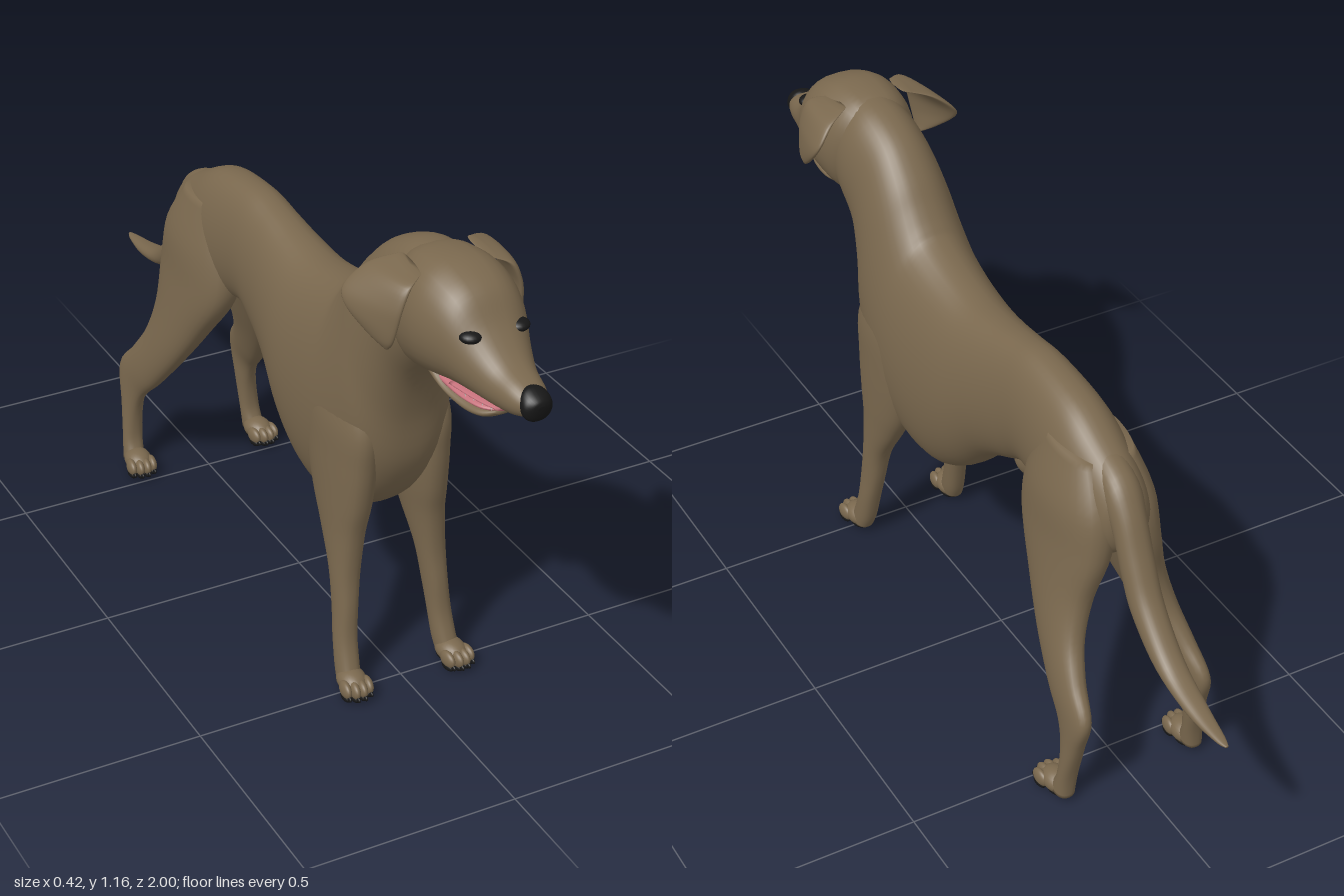
import * as THREE from 'three';

const mat = (name, color, side = THREE.FrontSide) => {
  const m = new THREE.MeshStandardMaterial({ color, side });
  m.name = name;
  return m;
};

// Catmull-Rom interpolation of a table of section rows
function sample(rows, t) {
  const i = Math.min(Math.floor(t), rows.length - 2), u = t - i;
  const at = k => rows[Math.max(0, Math.min(rows.length - 1, k))];
  const [a, b, c, d] = [at(i - 1), at(i), at(i + 1), at(i + 2)];
  return b.map((q, k) => q + 0.5 * u * (c[k] - a[k] + u * (2 * a[k] - 5 * q + 4 * c[k] - d[k]
    + u * (3 * (q - c[k]) + d[k] - a[k]))));
}

// Skin over sections [z1, y1, z2, y2, halfWidth, x1, x2]: two outline points and a width in x
function loft(sections, { side = 1, power = 0.85, egg = 0, around = 32, steps = 5 } = {}) {
  const rows = sections.map(([a, b, c, d, w, x1 = 0, x2 = x1]) => [a, b, c, d, w, x1, x2]);
  const n = (rows.length - 1) * steps, pos = [], idx = [];
  const centre = r => [side * (r[5] + r[6]) / 2, (r[1] + r[3]) / 2, (r[0] + r[2]) / 2];
  for (let i = 0; i <= n; i++) {
    const r = sample(rows, i / steps), m = centre(r);
    for (let j = 0; j < around; j++) {
      const a = j / around * Math.PI * 2, c = Math.cos(a), s = Math.sin(a);
      const w = Math.max(r[4], 0.001) * Math.sign(c) * Math.abs(c) ** power * (1 + egg * s);
      pos.push(m[0] + w + side * s * (r[5] - r[6]) / 2, m[1] + s * (r[1] - r[3]) / 2, m[2] + s * (r[0] - r[2]) / 2);
    }
  }
  const first = pos.length / 3;
  pos.push(...centre(rows[0]), ...centre(rows[rows.length - 1]));
  for (let j = 0; j < around; j++) {
    const k = (j + 1) % around;
    for (let i = 0; i < n; i++) {
      const a = i * around + j, b = i * around + k;
      idx.push(a, b, b + around, a, b + around, a + around);
    }
    idx.push(first, k, j, first + 1, n * around + j, n * around + k);
  }
  // turn faces outward, judged by signed volume
  let volume = 0;
  const v = i => new THREE.Vector3().fromArray(pos, i * 3);
  for (let i = 0; i < idx.length; i += 3) volume += v(idx[i]).dot(v(idx[i + 1]).cross(v(idx[i + 2])));
  if (volume < 0) idx.reverse();
  const g = new THREE.BufferGeometry();
  g.setAttribute('position', new THREE.Float32BufferAttribute(pos, 3));
  g.setIndex(idx);
  g.computeVertexNormals();
  return g;
}

export function createModel() {
  const dog = new THREE.Group();
  dog.name = 'dog';
  const coat = mat('brown coat', 0x7a684e), black = mat('black skin', 0x171717);
  const pink = mat('pink mouth', 0xc4707a), white = mat('white teeth', 0xe6e2d8);

  const add = (name, geometry, material, parent = dog) => {
    const m = new THREE.Mesh(geometry, material);
    m.name = name;
    parent.add(m);
    return m;
  };
  const blob = (name, material, p, r, parent = dog) => {
    const m = add(name, new THREE.SphereGeometry(1, 20, 14), material, parent);
    m.position.set(...p);
    m.scale.set(...r);
    return m;
  };

  // Torso and neck: back line and belly/throat line
  add('torsoAndNeck', loft([
    [-0.572, 0.73, -0.572, 0.68, 0.02],
    [-0.545, 0.795, -0.55, 0.62, 0.06],
    [-0.45, 0.855, -0.46, 0.57, 0.085],
    [-0.35, 0.9, -0.35, 0.575, 0.092],
    [-0.2, 0.917, -0.2, 0.612, 0.085],
    [-0.1, 0.905, -0.1, 0.57, 0.09],
    [0, 0.888, 0, 0.51, 0.105],
    [0.1, 0.88, 0.1, 0.415, 0.124],
    [0.2, 0.895, 0.2, 0.36, 0.134],
    [0.29, 0.922, 0.32, 0.365, 0.14],
    [0.32, 0.945, 0.44, 0.44, 0.138],
    [0.355, 0.985, 0.515, 0.56, 0.13],
    [0.4, 1.04, 0.537, 0.7, 0.118],
    [0.47, 1.102, 0.57, 0.8, 0.107],
    [0.555, 1.14, 0.62, 0.865, 0.103, 0.004],
    [0.64, 1.15, 0.68, 0.91, 0.09, 0.006],
  ], { egg: -0.06, around: 48 }), coat);

  // Skull and muzzle, turned slightly to the left
  const head = new THREE.Group();
  head.name = 'head';
  dog.add(head);
  add('skullAndMuzzle', loft([
    [0.54, 1.11, 0.58, 0.92, 0.07, 0],
    [0.6, 1.147, 0.63, 0.885, 0.108, 0.003],
    [0.68, 1.157, 0.69, 0.895, 0.12, 0.006],
    [0.74, 1.145, 0.74, 0.905, 0.115, 0.009],
    [0.79, 1.118, 0.785, 0.912, 0.1, 0.011],
    [0.835, 1.06, 0.84, 0.912, 0.078, 0.014],
    [0.89, 1.012, 0.895, 0.912, 0.058, 0.016],
    [0.945, 0.99, 0.945, 0.918, 0.045, 0.018],
    [0.978, 0.972, 0.975, 0.93, 0.03, 0.02],
    [0.986, 0.96, 0.984, 0.945, 0.01, 0.02],
  ], { power: 0.75, egg: -0.03 }), coat, head);
  add('lowerJaw', loft([
    [0.64, 0.95, 0.65, 0.885, 0.06, 0.006],
    [0.72, 0.9, 0.72, 0.872, 0.062, 0.01],
    [0.79, 0.888, 0.79, 0.857, 0.054, 0.012],
    [0.84, 0.888, 0.845, 0.864, 0.043, 0.014],
    [0.87, 0.893, 0.872, 0.882, 0.02, 0.015],
  ], { power: 0.75 }), coat, head);
  add('tongue', loft([
    [0.7, 0.912, 0.7, 0.88, 0.056, 0.01],
    [0.78, 0.902, 0.78, 0.88, 0.054, 0.012],
    [0.84, 0.9, 0.845, 0.882, 0.042, 0.014],
    [0.872, 0.898, 0.874, 0.89, 0.018, 0.015],
  ]), pink, head);
  add('gums', loft([
    [0.76, 0.918, 0.76, 0.902, 0.063, 0.011],
    [0.84, 0.918, 0.84, 0.903, 0.052, 0.014],
    [0.9, 0.92, 0.9, 0.906, 0.038, 0.016],
  ]), pink, head);
  add('nose', loft([
    [0.945, 0.985, 0.958, 0.94, 0.022, 0.019],
    [0.962, 0.989, 0.972, 0.922, 0.033, 0.02],
    [0.982, 0.982, 0.985, 0.922, 0.033, 0.02],
    [0.996, 0.972, 0.992, 0.93, 0.022, 0.02],
    [1, 0.962, 0.997, 0.945, 0.008, 0.02],
  ]), black, head);

  for (const s of [1, -1]) {
    const label = s > 0 ? 'left' : 'right';
    // Eyes and teeth
    const eye = blob(label + 'Eye', black, [0.014 + s * 0.056, 1.046, 0.822], [0.024, 0.013, 0.022], head);
    eye.rotation.y = s * 0.5;
    for (let i = 0; i < 4; i++) {
      const tooth = add(label + 'Tooth', new THREE.ConeGeometry(0.004, 0.016, 6), white, head);
      tooth.position.set(0.014 + s * (0.05 - i * 0.006), 0.903, 0.8 + i * 0.024);
      tooth.rotation.x = Math.PI;
    }

    // Hanging ears, the right one flared further out
    const f = s > 0 ? 0.012 : 0.04;
    add(label + 'Ear', loft([
      [0.69, 1.13, 0.6, 1.14, 0.01, 0.085, 0.08],
      [0.712, 1.118, 0.575, 1.122, 0.014, 0.118, 0.122 + f * 0.4],
      [0.716, 1.075, 0.565, 1.08, 0.012, 0.138, 0.148 + f],
      [0.71, 1.03, 0.585, 1.045, 0.011, 0.146, 0.156 + f],
      [0.7, 0.995, 0.635, 1, 0.009, 0.15, 0.156 + f * 0.4],
      [0.685, 0.976, 0.668, 0.976, 0.005, 0.151, 0.152],
    ], { side: s, power: 0.8 }), coat, head);

    // Forelegs: front edge and back edge
    add(label + 'Foreleg', loft([
      [0.45, 0.78, 0.27, 0.78, 0.03, 0.085],
      [0.505, 0.66, 0.24, 0.67, 0.052, 0.088],
      [0.503, 0.56, 0.25, 0.56, 0.054, 0.09],
      [0.49, 0.46, 0.29, 0.45, 0.049, 0.094],
      [0.474, 0.38, 0.338, 0.365, 0.041, 0.1],
      [0.47, 0.28, 0.388, 0.28, 0.033, 0.108],
      [0.478, 0.2, 0.41, 0.19, 0.028, 0.114],
      [0.486, 0.12, 0.427, 0.12, 0.027, 0.12],
      [0.505, 0.06, 0.445, 0.05, 0.027, 0.124],
      [0.52, 0.03, 0.46, 0.014, 0.026, 0.127],
    ], { side: s }), coat);

    // Hind legs: thigh, hock and pastern
    add(label + 'HindLeg', loft([
      [-0.29, 0.83, -0.48, 0.82, 0.04, 0.04],
      [-0.25, 0.71, -0.545, 0.72, 0.072, 0.045],
      [-0.25, 0.6, -0.557, 0.61, 0.066, 0.062],
      [-0.325, 0.485, -0.542, 0.5, 0.053, 0.09],
      [-0.405, 0.375, -0.558, 0.41, 0.041, 0.118],
      [-0.49, 0.275, -0.605, 0.335, 0.033, 0.14],
      [-0.55, 0.215, -0.663, 0.265, 0.026, 0.153],
      [-0.577, 0.155, -0.642, 0.175, 0.025, 0.158],
      [-0.58, 0.08, -0.62, 0.08, 0.025, 0.164],
      [-0.56, 0.035, -0.615, 0.015, 0.026, 0.168],
    ], { side: s }), coat);

    // Paws with toes, claws and pads
    for (const [part, x, z] of [['Forepaw', 0.128, 0.512], ['HindPaw', 0.169, -0.553]]) {
      const paw = new THREE.Group();
      paw.name = label + part;
      paw.position.set(s * x, 0, z);
      paw.rotation.y = s * 0.08;
      dog.add(paw);
      blob('pawBody', coat, [0, 0.03, -0.008], [0.033, 0.027, 0.045], paw);
      blob('heelPad', black, [0, 0.014, -0.018], [0.027, 0.014, 0.03], paw);
      [-1.5, -0.5, 0.5, 1.5].forEach(k => {
        const front = 0.036 - Math.abs(k) * 0.009;
        blob('toe', coat, [k * 0.0175, 0.027, front - 0.004], [0.0115, 0.02, 0.026], paw);
        blob('toePad', black, [k * 0.0175, 0.011, front - 0.002], [0.01, 0.011, 0.021], paw);
        blob('claw', black, [k * 0.0175, 0.016, front + 0.018], [0.004, 0.007, 0.01], paw);
      });
    }
  }

  // Tail: upper edge and lower edge
  add('tail', loft([
    [-0.44, 0.85, -0.5, 0.72, 0.045, 0],
    [-0.535, 0.815, -0.55, 0.69, 0.045, 0.004],
    [-0.59, 0.755, -0.565, 0.65, 0.04, 0.007],
    [-0.64, 0.66, -0.6, 0.58, 0.039, 0.01],
    [-0.695, 0.57, -0.645, 0.52, 0.037, 0.013],
    [-0.79, 0.482, -0.745, 0.452, 0.033, 0.016],
    [-0.89, 0.446, -0.875, 0.418, 0.025, 0.019],
    [-0.97, 0.431, -0.97, 0.417, 0.013, 0.02],
    [-1, 0.426, -1, 0.421, 0.004, 0.02],
  ]), coat);

  // Belly sheath
  add('bellySheath', loft([
    [-0.07, 0.59, -0.085, 0.56, 0.012],
    [-0.095, 0.6, -0.115, 0.54, 0.022],
    [-0.15, 0.63, -0.165, 0.552, 0.024],
    [-0.23, 0.65, -0.235, 0.6, 0.022],
  ]), coat);

  return dog;
}
